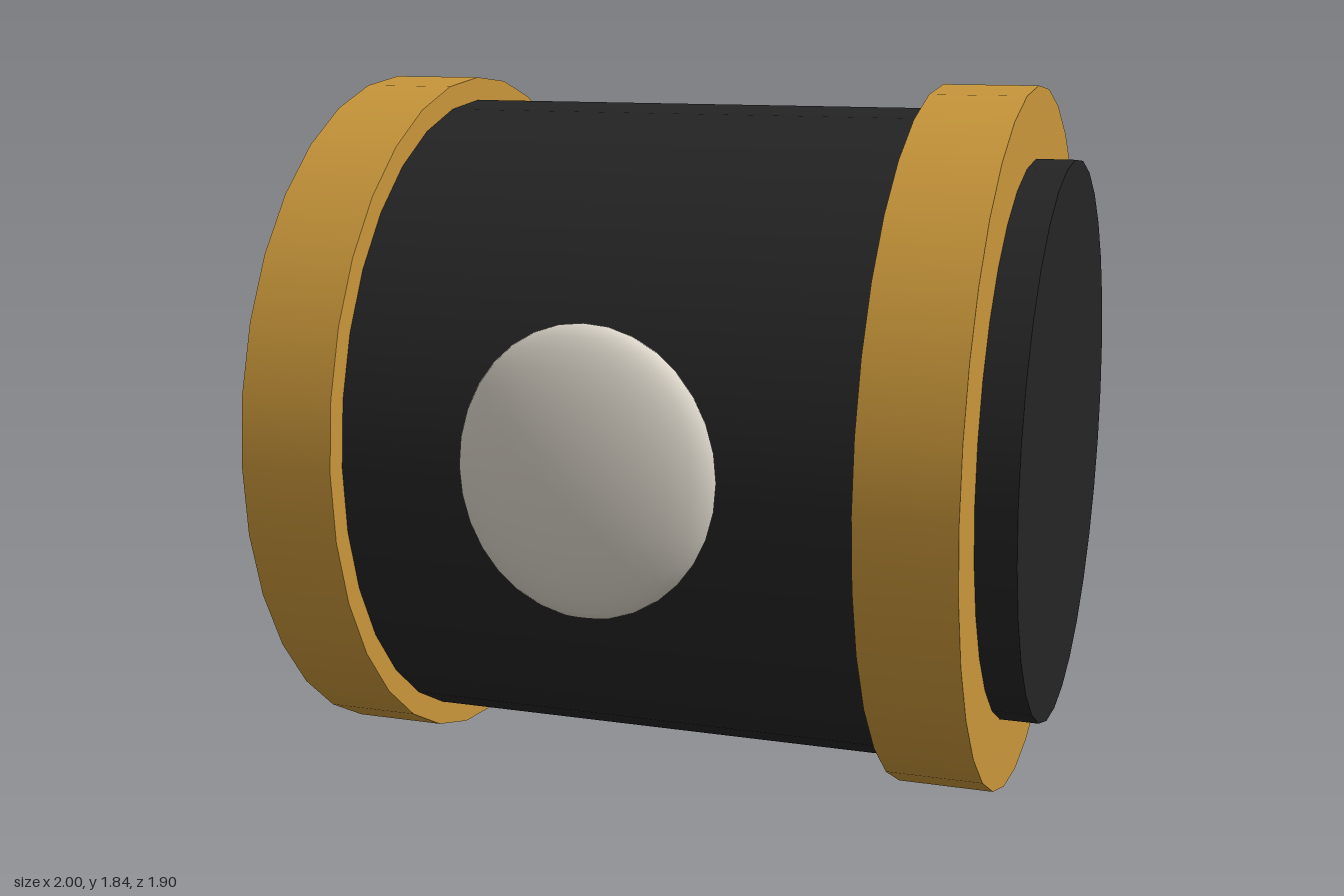
import * as THREE from 'three';

export function createModel() {
  const model = new THREE.Group();
  const black = new THREE.MeshStandardMaterial({ name: 'black', color: 0x242424 });
  const gold = new THREE.MeshStandardMaterial({ name: 'gold', color: 0xc8963a });
  const ivory = new THREE.MeshStandardMaterial({ name: 'ivory', color: 0xd9d3c7 });

  // Everything round lies along x on one axis
  const barrel = new THREE.Group();
  barrel.name = 'barrel';
  barrel.position.set(0, 0.92, -0.035);
  model.add(barrel);

  function drum(name, radius, length, x, material) {
    const mesh = new THREE.Mesh(new THREE.CylinderGeometry(radius, radius, length, 32), material);
    mesh.name = name;
    mesh.rotation.z = Math.PI / 2;
    mesh.position.x = x;
    barrel.add(mesh);
  }

  drum('body', 0.858, 1.4, 0, black);
  for (const [side, s] of [['left', 1], ['right', -1]]) {
    drum(side + 'Band', 0.92, 0.245, s * 0.7775, gold);
    drum(side + 'EndCap', 0.735, 0.2, s * 0.9, black);
  }

  // Flattened oval button on the front
  const button = new THREE.Mesh(new THREE.SphereGeometry(1, 24, 16), ivory);
  button.name = 'frontButton';
  button.scale.set(0.324, 0.358, 0.1);
  button.position.set(0, 0.963, 0.848);
  model.add(button);

  return model;
}
